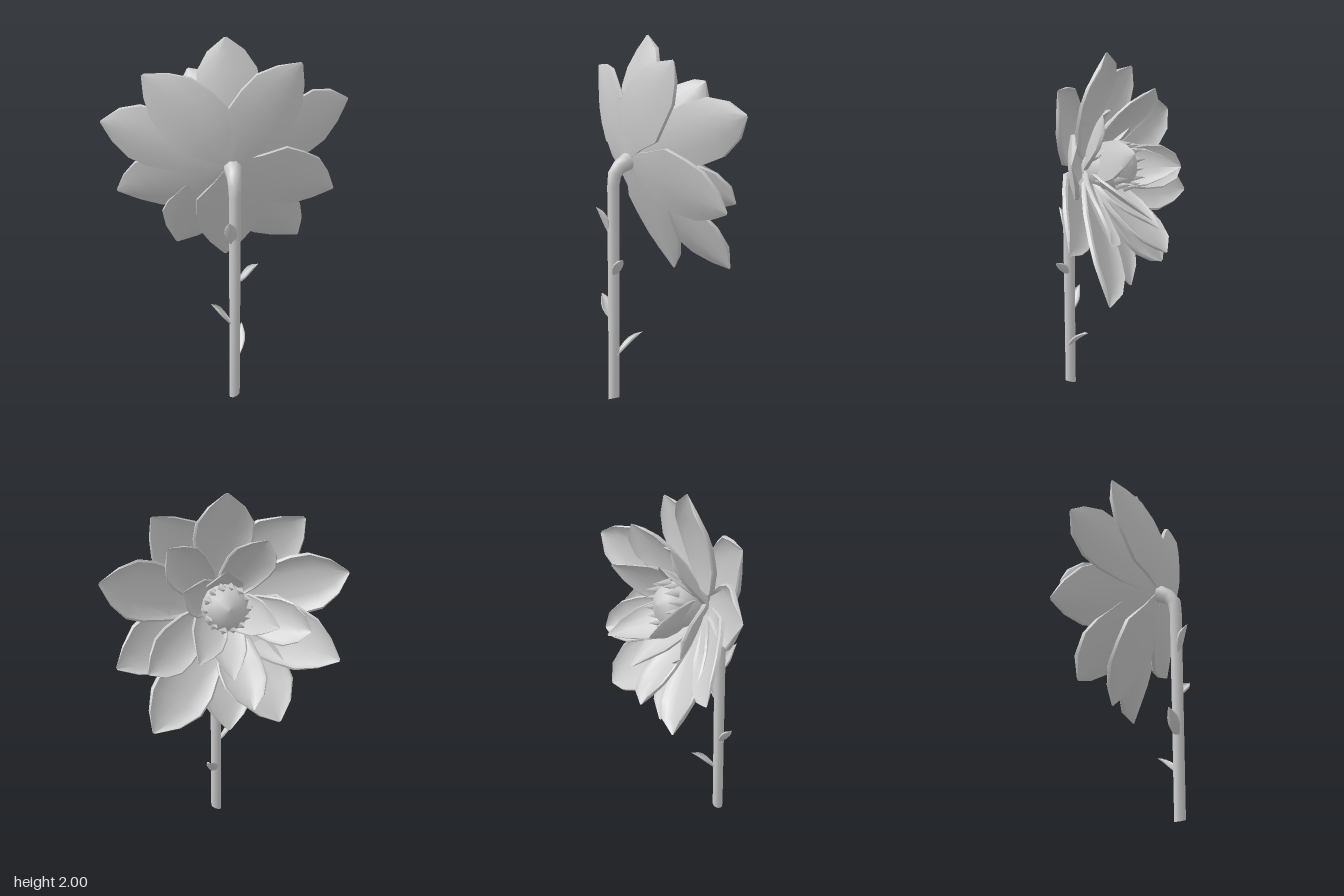
import * as THREE from 'three';
import { toCreasedNormals } from 'three/addons/utils/BufferGeometryUtils.js';

const V = (x, y, z) => new THREE.Vector3(x, y, z);
const material = new THREE.MeshStandardMaterial({ color: 0xcccccc, side: THREE.DoubleSide });
const heart = V(0, 1.35, 0.17);                 // centre of the flower head
const facing = V(0, 0.2, -0.98).normalize();    // direction the flower looks

// Outlines: [distance along blade, share of full half width]
const wedge = [[0, 0.1], [0.2, 0.56], [0.37, 1], [0.55, 0.97], [0.72, 0.86], [0.87, 0.5], [1, 0.04]];
const paddle = [[0, 0.2], [0.2, 0.55], [0.38, 0.85], [0.6, 1], [0.74, 0.96], [0.88, 0.6], [1, 0.04]];
const lance = [[0, 0.3], [0.2, 0.75], [0.42, 1], [0.62, 0.92], [0.8, 0.55], [1, 0.04]];

// Closed cross-section: [across, thickness], back first, then the front with a raised rim
const section = [[-1, 0.1], [-0.5, 0], [0, 0], [0.5, 0], [1, 0.1], [1, 0.7], [0.93, 1], [0.8, 0.5],
  [0.4, 0.35], [0, 0.35], [-0.4, 0.35], [-0.8, 0.5], [-0.93, 1], [-1, 0.7]];

// Mesh from a grid of rings of m points, listed counterclockwise seen from the far end
function skin(name, pos, m, crease) {
  const index = [], rows = pos.length / 3 / m;
  for (let i = 0; i < rows - 1; i++) {
    for (let j = 0; j < m; j++) {
      const a = i * m + j, b = i * m + (j + 1) % m;
      index.push(a, b, b + m, a, b + m, a + m);
    }
  }
  for (let j = 1; j < m - 1; j++) index.push(0, j + 1, j);
  const g = new THREE.BufferGeometry();
  g.setAttribute('position', new THREE.Float32BufferAttribute(pos, 3));
  g.setIndex(index);
  const mesh = new THREE.Mesh(toCreasedNormals(g, crease), material);
  mesh.name = name;
  return mesh;
}

// Thick curved blade from base to tip, rising along the normal n
function blade(name, base, n, tip, { outline, width, thick = 0.034, power, cup, skew = 0 }) {
  const v = tip.clone().sub(base);
  const height = v.dot(n);
  const radial = v.clone().addScaledVector(n, -height);
  const side = n.clone().cross(radial).normalize();
  const pos = [];
  for (const [t, share] of outline) {
    const th = thick * Math.min(1, share * 1.6);
    for (const [s, k] of section) {
      const p = base.clone().addScaledVector(radial, t)
        .addScaledVector(side, width * share * s + skew * width * Math.sin(Math.PI * t))
        .addScaledVector(n, height * t ** power + cup * s * s * share * t + th * k);
      pos.push(p.x, p.y, p.z);
    }
  }
  return skin(name, pos, section.length, 0.7);
}

// Petal rings from back to front; each tip is [x, y, z, sideways bulge, curve power]
const rings = [
  { name: 'outerPetal', lift: 0, outline: wedge, width: 0.18, cup: 0.03, tips: [
    [0.37, 1.87, 0.11, -0.15, 2], [-0.46, 1.83, 0.09, 0.15, 2], [-0.6, 1.1, -0.19, 0, 1.4],
    [0, 0.71, -0.13, 0, 1.2], [0.6, 1.1, -0.07, 0, 1.4]] },
  { name: 'secondPetal', lift: 0.015, outline: paddle, width: 0.165, cup: 0.04, tips: [
    [-0.02, 2.0, 0.03, 0, 1.7], [-0.68, 1.55, -0.04, 0, 1.6], [-0.27, 0.77, -0.2, 0.1, 1.3],
    [0.43, 0.77, -0.21, 0.25, 1.3], [0.68, 1.6, -0.13, 0, 1.6]] },
  { name: 'thirdPetal', lift: 0.035, outline: paddle, width: 0.125, cup: 0.05, tips: [
    [-0.2, 1.79, -0.17, 0, 1.4], [0.32, 1.76, -0.12, 0, 1.4], [0.45, 1.12, -0.23, 0, 1.4],
    [-0.1, 0.9, -0.3, 0, 1.3], [-0.42, 1.3, -0.24, 0, 1.4]] },
  { name: 'innerPetal', lift: 0.05, outline: lance, width: 0.11, cup: 0.04, tips: [
    [0.01, 1.62, -0.12, 0, 1.4], [0.27, 1.57, -0.27, 0, 1.4], [0.2, 1.2, -0.34, 0, 1.4],
    [0.01, 1.08, -0.3, 0, 1.4], [-0.23, 1.36, -0.31, 0, 1.4]] },
];

// Rounded bud with a crown of short pointed stamens
function createBud() {
  const bud = new THREE.Group();
  bud.name = 'bud';
  bud.position.copy(heart);
  bud.quaternion.setFromUnitVectors(V(0, 1, 0), facing);
  const profile = [[0.06, 0.03], [0.11, 0.1], [0.13, 0.18], [0.122, 0.25], [0.08, 0.3], [0, 0.32]]
    .map(([r, y]) => new THREE.Vector2(r, y));
  const dome = new THREE.Mesh(new THREE.LatheGeometry(profile, 16), material);
  dome.name = 'budDome';
  bud.add(dome);
  const count = 14;
  for (let i = 0; i < count; i++) {
    const a = (i / count) * Math.PI * 2;
    const stamen = new THREE.Mesh(new THREE.ConeGeometry(0.026, 0.09, 4), material);
    stamen.name = 'stamen';
    stamen.position.set(Math.cos(a) * 0.115, 0.28 + 0.015 * (i % 2), Math.sin(a) * 0.115);
    stamen.rotation.y = -a;
    bud.add(stamen);
  }
  return bud;
}

// Eight-sided stem with a bent neck that widens under the flower: [y, z, radius]
function createStem() {
  const path = [[0.01, 0.258, 0.03], [0.6, 0.257, 0.031], [1.2, 0.255, 0.033],
    [1.26, 0.247, 0.037], [1.3, 0.215, 0.041], [1.325, 0.17, 0.048], [1.34, 0.12, 0.048]];
  const sides = 8, pos = [];
  path.forEach(([y, z, r], i) => {
    const prev = path[Math.max(i - 1, 0)], next = path[Math.min(i + 1, path.length - 1)];
    const along = V(0, next[0] - prev[0], next[1] - prev[1]).normalize();
    const across = along.clone().cross(V(1, 0, 0));
    for (let j = 0; j < sides; j++) {
      const a = ((j + 0.5) / sides) * Math.PI * 2;
      const p = V(Math.cos(a) * r, y, z).addScaledVector(across, Math.sin(a) * r);
      // the cut foot slopes up towards +x
      pos.push(p.x, i === 0 ? 0.012 + p.x * 0.4 : p.y, p.z);
    }
  });
  return skin('stem', pos, sides, 0.9);
}

// Small leaves: [base, tip, normal]
const leaves = [
  [[-0.015, 0.94, 0.275], [-0.04, 1.085, 0.34], [0, 0.4, -0.9]],
  [[0.02, 0.71, 0.26], [0.125, 0.815, 0.27], [-0.65, 0.75, 0.1]],
  [[-0.02, 0.46, 0.26], [-0.13, 0.585, 0.26], [0.65, 0.75, 0.1]],
  [[0.02, 0.26, 0.25], [0.06, 0.385, 0.11], [-0.25, 0.7, 0.65]],
];

export function createModel() {
  const model = new THREE.Group();
  model.name = 'flower';
  model.add(createStem(), createBud());
  for (const { name, lift, tips, ...shape } of rings) {
    const base = heart.clone().addScaledVector(facing, lift);
    for (const [x, y, z, skew, power] of tips) {
      model.add(blade(name, base, facing, V(x, y, z), { ...shape, skew, power }));
    }
  }
  for (const [base, tip, n] of leaves) {
    model.add(blade('leaf', V(...base), V(...n).normalize(), V(...tip),
      { outline: lance, width: 0.033, thick: 0.012, cup: 0.02, power: 1.8 }));
  }
  return model;
}
